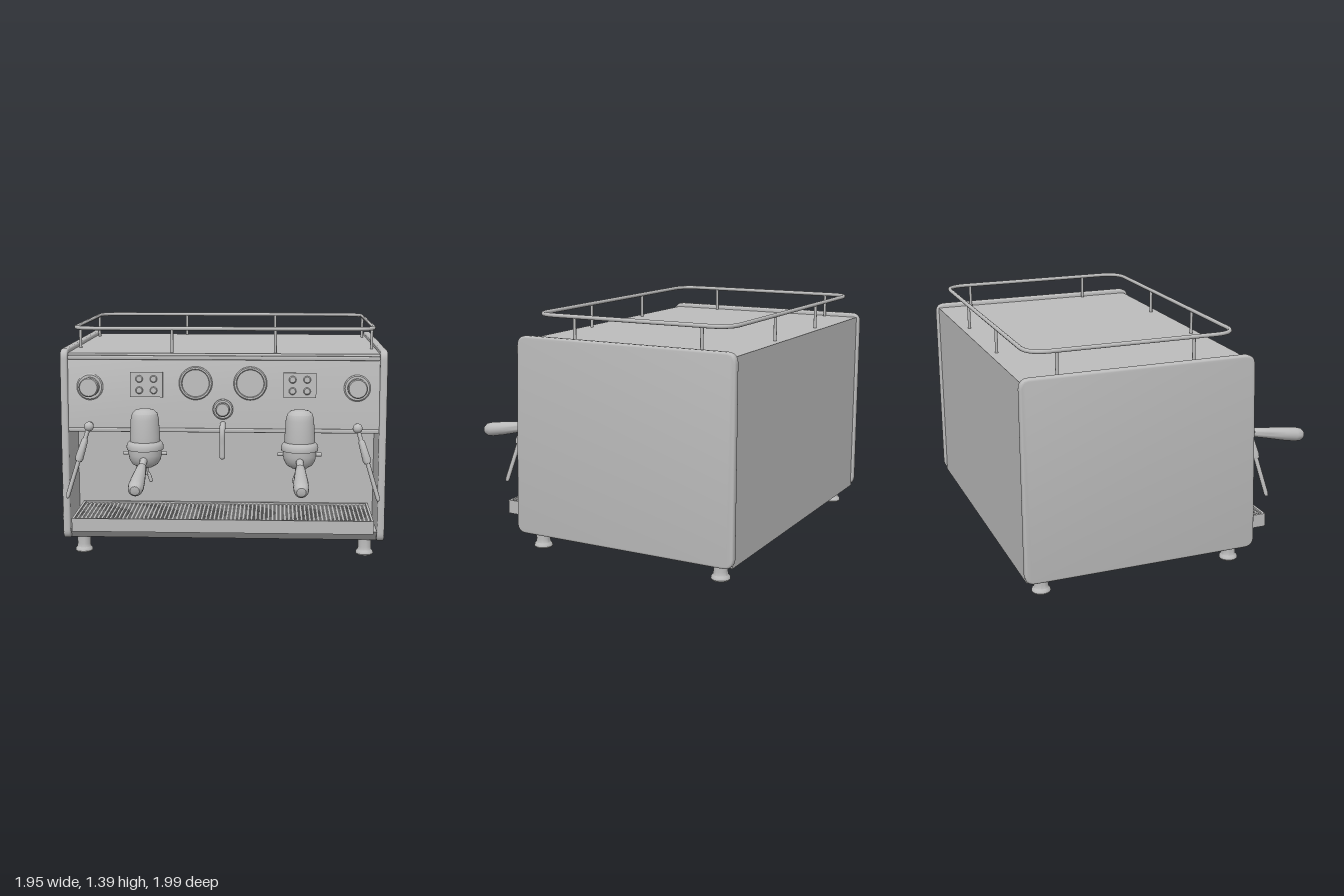
import * as THREE from 'three';
import { toCreasedNormals } from 'three/addons/utils/BufferGeometryUtils.js';
import { RoundedBoxGeometry } from 'three/addons/geometries/RoundedBoxGeometry.js';

const steel = new THREE.MeshStandardMaterial({ color: 0xbcbcbc });
steel.name = 'brushed steel';
const V = (x, y, z) => new THREE.Vector3(x, y, z);

function add(parent, name, geometry, x = 0, y = 0, z = 0) {
  const mesh = new THREE.Mesh(geometry, steel);
  mesh.name = name;
  mesh.position.set(x, y, z);
  parent.add(mesh);
  return mesh;
}

function group(parent, name, x = 0, y = 0, z = 0) {
  const g = new THREE.Group();
  g.name = name;
  g.position.set(x, y, z);
  parent.add(g);
  return g;
}

// Turned part from [radius, height] pairs running upward
function lathe(points, segments = 32) {
  const g = new THREE.LatheGeometry(points.map(p => new THREE.Vector2(p[0], p[1])), segments);
  return toCreasedNormals(g, 0.6);
}

// Turned part whose axis points along +z
const latheZ = (points, segments) => lathe(points, segments).rotateX(Math.PI / 2);

// Turned part running from a to b, profile heights measured from a
function latheAlong(parent, name, a, b, points) {
  const m = add(parent, name, lathe(points, 24), a.x, a.y, a.z);
  m.quaternion.setFromUnitVectors(V(0, 1, 0), b.clone().sub(a).normalize());
  return m;
}

// Polygon with rounded corners
function roundedShape(corners, r) {
  const shape = new THREE.Shape();
  const pts = corners.map(c => new THREE.Vector2(c[0], c[1]));
  pts.forEach((p, i) => {
    const before = pts[(i + pts.length - 1) % pts.length], after = pts[(i + 1) % pts.length];
    const a = before.clone().sub(p).setLength(r).add(p);
    const b = after.clone().sub(p).setLength(r).add(p);
    if (i === 0) shape.moveTo(a.x, a.y); else shape.lineTo(a.x, a.y);
    shape.quadraticCurveTo(p.x, p.y, b.x, b.y);
  });
  shape.closePath();
  return shape;
}

// Side profile (z, y) extruded across x and centred
function extrudeX(shape, width, bevel = 0) {
  const depth = width - 2 * bevel;
  const g = new THREE.ExtrudeGeometry(shape, {
    depth, curveSegments: 8, bevelEnabled: bevel > 0,
    bevelSize: bevel, bevelThickness: bevel, bevelOffset: -bevel, bevelSegments: 3,
  });
  g.rotateY(-Math.PI / 2).translate(depth / 2, 0, 0);
  return toCreasedNormals(g, 0.6);
}

function buildCabinet(root) {
  // Body with the open work area cut into the front
  const profile = [[-0.985, 0.1], [0.32, 0.1], [0.375, 0.165], [0.03, 0.165], [0.03, 0.78],
    [0.36, 0.78], [0.335, 1.2], [0.32, 1.235], [-0.985, 1.235]];
  add(root, 'body', extrudeX(new THREE.Shape(profile.map(p => new THREE.Vector2(...p))), 1.88));
  add(root, 'upperTrim', new RoundedBoxGeometry(1.86, 0.025, 0.03, 2, 0.008), 0, 1.21, 0.333);
  add(root, 'lowerTrim', new RoundedBoxGeometry(1.86, 0.025, 0.03, 2, 0.008), 0, 0.777, 0.353);

  const side = roundedShape([[-1, 0.1], [0.385, 0.1], [0.355, 1.26], [-1, 1.26]], 0.06);
  for (const s of [-1, 1]) {
    add(root, 'sidePanel', extrudeX(side, 0.045, 0.012), s * 0.9525, 0, 0);
    for (const z of [0.275, -0.88]) {
      add(root, 'foot', lathe([[0, 0], [0.05, 0], [0.054, 0.008], [0.052, 0.02], [0.043, 0.03],
        [0.04, 0.05], [0.042, 0.105]]), s * 0.865, 0, z);
    }
  }
}

function buildRail(root) {
  const rail = group(root, 'cupRail');
  const outline = roundedShape([[-0.905, -0.935], [0.905, -0.935], [0.905, 0.27], [-0.905, 0.27]], 0.13);
  const pts = outline.getSpacedPoints(160).slice(0, -1).map(p => V(p.x, 1.378, p.y));
  const path = new THREE.CatmullRomCurve3(pts, true);
  add(rail, 'railTube', new THREE.TubeGeometry(path, 240, 0.012, 10, true));
  const post = new THREE.CylinderGeometry(0.009, 0.009, 0.15, 12);
  for (const s of [-1, 1]) {
    for (const z of [0.27, -0.935]) add(rail, 'railPost', post, s * 0.31, 1.303, z);
    for (const z of [0.01, -0.775]) add(rail, 'railPost', post, s * 0.905, 1.303, z);
  }
}

function buildTray(root) {
  const tray = group(root, 'dripTray');
  add(tray, 'trayFloor', new THREE.BoxGeometry(1.8, 0.02, 0.46), 0, 0.19, 0.265);
  add(tray, 'trayFront', new THREE.BoxGeometry(1.8, 0.08, 0.015), 0, 0.22, 0.4875);
  add(tray, 'trayBack', new THREE.BoxGeometry(1.8, 0.08, 0.015), 0, 0.22, 0.0425);
  for (const s of [-1, 1]) {
    add(tray, 'traySide', new THREE.BoxGeometry(0.015, 0.08, 0.46), s * 0.8925, 0.22, 0.265);
  }
  // Crossed bars of the drain grid
  const long = new THREE.BoxGeometry(1.77, 0.01, 0.012);
  const short = new THREE.BoxGeometry(0.012, 0.01, 0.43);
  for (let i = 0; i < 17; i++) add(tray, 'gridBar', long, 0, 0.245, 0.065 + i * 0.025);
  for (let i = 0; i < 71; i++) add(tray, 'gridCrossBar', short, (i - 35) * 0.025, 0.245, 0.265);
}

function buildControls(root) {
  // Leaning plane of the control panel: y is measured from its lower edge
  const panel = group(root, 'controls', 0, 0.78, 0.36);
  panel.rotation.x = -0.0595;
  const gauge = latheZ([[0, -0.01], [0.1, -0.01], [0.1, 0.008], [0.094, 0.016], [0.084, 0.016],
    [0.08, 0.008], [0, 0.008]].map(([r, h]) => [r, h]), 48);
  const knob = latheZ([[0, -0.01], [0.079, -0.01], [0.079, 0.006], [0.072, 0.012], [0.058, 0.012],
    [0.058, 0.06], [0.052, 0.067], [0, 0.067]], 40);
  const button = latheZ([[0, 0], [0.022, 0], [0.022, 0.014], [0.017, 0.019], [0, 0.019]], 20);
  for (const s of [-1, 1]) {
    add(panel, 'pressureGauge', gauge, s * 0.163, 0.28, 0);
    add(panel, 'steamKnob', knob, s * 0.797, 0.255, 0);
    add(panel, 'buttonPlate', new THREE.BoxGeometry(0.195, 0.15, 0.02), s * 0.457, 0.27, 0);
    for (const dx of [-0.043, 0.043]) {
      for (const dy of [-0.034, 0.034]) add(panel, 'button', button, s * 0.457 + dx, 0.27 + dy, 0);
    }
  }
  const water = latheZ([[0, -0.01], [0.061, -0.01], [0.061, 0.01], [0.054, 0.016], [0.042, 0.016],
    [0.042, 0.048], [0.036, 0.055], [0, 0.055]], 32);
  add(panel, 'waterKnob', water, 0, 0.125, 0);

  // Hot water spout
  const spout = new THREE.CatmullRomCurve3([V(0, 0.815, 0.34), V(0, 0.815, 0.39), V(0, 0.805, 0.42),
    V(0, 0.77, 0.435), V(0, 0.7, 0.435), V(0, 0.63, 0.435)]);
  add(root, 'waterSpout', new THREE.TubeGeometry(spout, 32, 0.017, 14));
  add(root, 'spoutTip', new THREE.SphereGeometry(0.017, 14, 8), 0, 0.632, 0.435);
}

function buildGroupHead(root, x) {
  const head = group(root, 'groupHead', x, 0, 0.46);
  // Domed cylinder, locking collar and filter bowl
  add(head, 'brewHead', lathe([[0, 0.68], [0.108, 0.68], [0.11, 0.7], [0.103, 0.718], [0.09, 0.73],
    [0.09, 0.76], [0.086, 0.8], [0.083, 0.86], [0.075, 0.895], [0.055, 0.914], [0.025, 0.921], [0, 0.922]], 40));
  add(head, 'filterBowl', lathe([[0, 0.572], [0.045, 0.574], [0.075, 0.592], [0.092, 0.62],
    [0.098, 0.65], [0.098, 0.682]], 40));
  add(head, 'mountFlange', latheZ([[0, -0.13], [0.062, -0.13], [0.062, -0.07], [0.05, -0.06],
    [0.05, 0], [0, 0]]), 0, 0.83, 0);
  const lug = new THREE.CylinderGeometry(0.011, 0.011, 0.26, 12).rotateZ(Math.PI / 2);
  add(head, 'lockingLugs', lug, 0, 0.655, 0);

  // Handle sloping down toward the barista
  latheAlong(head, 'handleNeck', V(0, 0.635, 0.05), V(0, 0.6, 0.2),
    [[0, 0], [0.023, 0], [0.019, 0.17], [0, 0.17]]);
  latheAlong(head, 'handleGrip', V(0, 0.606, 0.175), V(0, 0.545, 0.53),
    [[0, 0], [0.023, 0], [0.029, 0.012], [0.034, 0.1], [0.042, 0.22], [0.044, 0.3],
      [0.04, 0.335], [0.026, 0.355], [0, 0.362]]);

  // Twin outlet
  add(head, 'outletStem', new THREE.CylinderGeometry(0.018, 0.018, 0.06, 16), 0, 0.555, 0);
  for (const s of [-1, 1]) {
    const curve = new THREE.QuadraticBezierCurve3(V(0, 0.545, 0), V(s * 0.026, 0.535, 0), V(s * 0.032, 0.488, 0));
    add(head, 'outlet', new THREE.TubeGeometry(curve, 10, 0.011, 10));
    add(head, 'outletTip', new THREE.SphereGeometry(0.011, 10, 6), s * 0.032, 0.49, 0);
  }
}

function buildSteamWand(root, s) {
  const wand = group(root, 'steamWand');
  const top = V(s * 0.8, 0.802, 0.4), tip = V(s * 0.925, 0.385, 0.485);
  add(wand, 'wandMount', latheZ([[0, 0], [0.022, 0], [0.022, 0.06], [0, 0.06]], 20), top.x, top.y, 0.34);
  add(wand, 'wandBall', new THREE.SphereGeometry(0.029, 20, 14), top.x, top.y, top.z);
  latheAlong(wand, 'wandTube', top, tip,
    [[0, 0], [0.013, 0], [0.013, 0.43], [0.009, 0.445], [0, 0.448]]);
  latheAlong(wand, 'wandSleeve', top.clone().lerp(tip, 0.17), tip,
    [[0, 0], [0.016, 0], [0.02, 0.012], [0.025, 0.12], [0.02, 0.14], [0, 0.143]]);
}

export function createModel() {
  const root = new THREE.Group();
  root.name = 'espressoMachine';
  buildCabinet(root);
  buildRail(root);
  buildTray(root);
  buildControls(root);
  for (const s of [-1, 1]) {
    buildGroupHead(root, s * 0.457);
    buildSteamWand(root, s);
  }
  return root;
}
